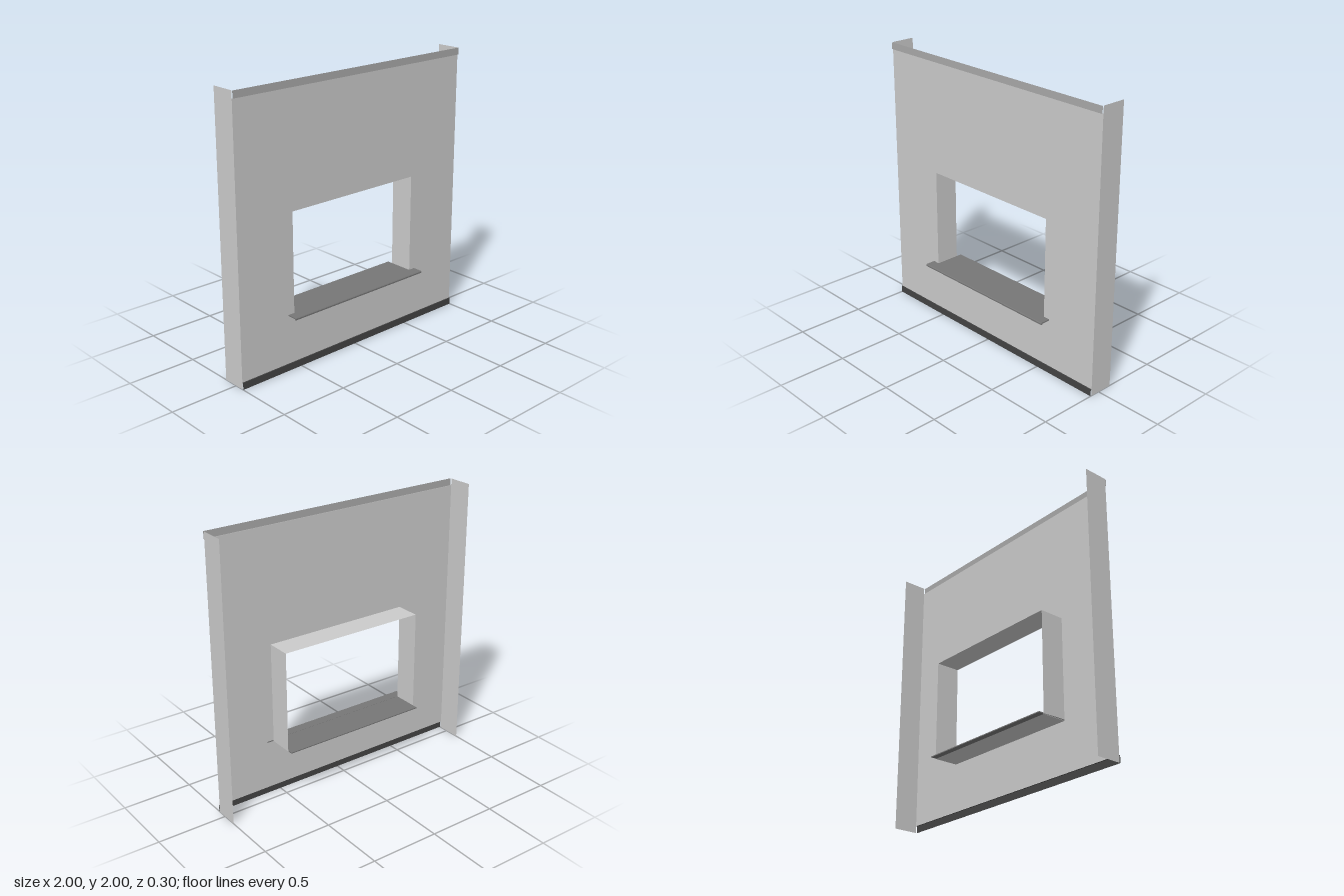
import * as THREE from 'three';

const FRONT = 0.07, BACK = -0.11;          // wall face and rear edge of the returns
const OPEN_X = 0.55, OPEN_LOW = 0.4, OPEN_HIGH = 1.13;

const material = (color) =>
  new THREE.MeshStandardMaterial({ color, side: THREE.DoubleSide, flatShading: true });
const grey = material(0xcccccc);
const lightTrim = material(0xaaaaaa);
const darkTrim = material(0x444444);
const sillGrey = material(0x777777);

export function createModel() {
  const model = new THREE.Group();
  model.name = 'wallWithWindowOpening';

  const add = (name, geometry, mat, x = 0, y = 0, z = 0) => {
    const mesh = new THREE.Mesh(geometry, mat);
    mesh.name = name;
    mesh.position.set(x, y, z);
    model.add(mesh);
    return mesh;
  };

  // Thin sheets: upright ones face sideways, flat ones face up
  const depth = FRONT - BACK, midZ = (FRONT + BACK) / 2;
  const upright = (name, x, y0, y1) =>
    add(name, new THREE.PlaneGeometry(depth, y1 - y0).rotateY(Math.PI / 2), grey, x, (y0 + y1) / 2, midZ);
  const flat = (name, width, y, z0, z1, mat) =>
    add(name, new THREE.PlaneGeometry(width, z1 - z0).rotateX(-Math.PI / 2), mat, 0, y, (z0 + z1) / 2);

  // Wall face with the window opening
  const face = new THREE.Shape([
    new THREE.Vector2(-1, 0.05), new THREE.Vector2(1, 0.05),
    new THREE.Vector2(1, 1.95), new THREE.Vector2(-1, 1.95),
  ]);
  face.holes.push(new THREE.Path([
    new THREE.Vector2(-OPEN_X, OPEN_LOW), new THREE.Vector2(-OPEN_X, OPEN_HIGH),
    new THREE.Vector2(OPEN_X, OPEN_HIGH), new THREE.Vector2(OPEN_X, OPEN_LOW),
  ]));
  add('wallFace', new THREE.ShapeGeometry(face), grey, 0, 0, FRONT);

  // Side returns of the wall and of the opening
  for (const [side, s] of [['left', 1], ['right', -1]]) {
    upright(`${side}WallReturn`, s, 0, 2);
    upright(`${side}Reveal`, s * OPEN_X, OPEN_LOW, OPEN_HIGH);
  }
  flat('topReveal', 2 * OPEN_X, OPEN_HIGH, BACK, FRONT, grey);
  flat('bottomReveal', 2 * OPEN_X, OPEN_LOW, BACK, FRONT, grey);

  // Slightly projecting bands along the top and the foot of the wall
  const bandZ = FRONT + 0.008;
  for (const [name, y, ledge, mat] of [['top', 1.975, 1.95, lightTrim], ['base', 0.025, 0.05, darkTrim]]) {
    add(`${name}Band`, new THREE.PlaneGeometry(2, 0.05), mat, 0, y, bandZ);
    flat(`${name}BandLedge`, 2, ledge, FRONT, bandZ, mat);
  }

  // Sill: a board inside the opening and a wider nose with a turned-down lip
  add('innerSill', new THREE.BoxGeometry(2 * OPEN_X, 0.007, FRONT + 0.15), sillGrey,
    0, 0.4055, (FRONT - 0.15) / 2);
  const nose = new THREE.Shape([
    [FRONT, 0.402], [0.134, 0.402], [0.137, 0.395], [0.145, 0.395], [0.145, 0.405], [0.141, 0.41], [FRONT, 0.41],
  ].map(([z, y]) => new THREE.Vector2(-z, y)));
  const noseGeometry = new THREE.ExtrudeGeometry(nose, { depth: 1.2, bevelEnabled: false });
  noseGeometry.translate(0, 0, -0.6).rotateY(Math.PI / 2);
  add('sillNose', noseGeometry, sillGrey);

  return model;
}
